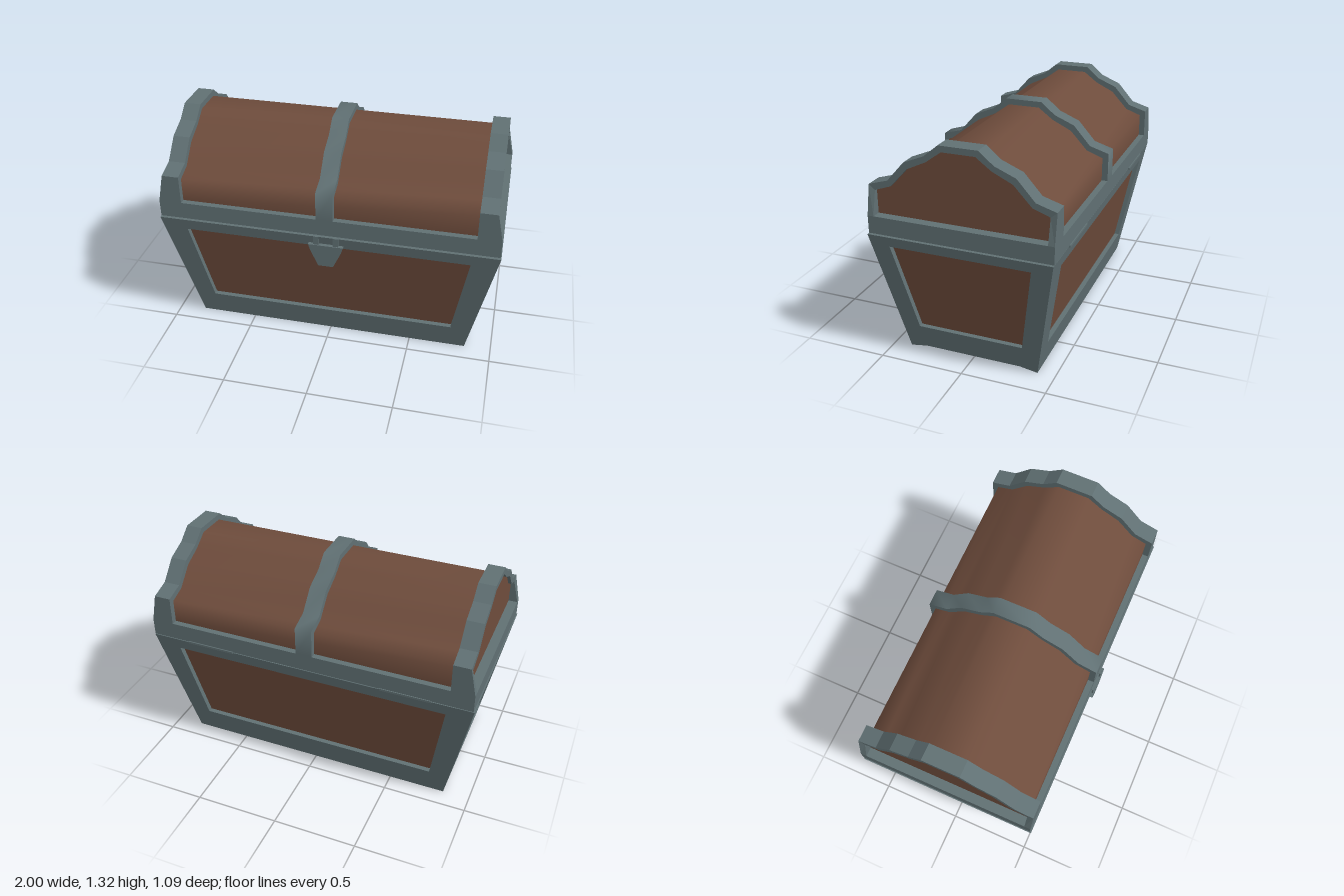
import * as THREE from 'three';
import { toCreasedNormals } from 'three/addons/utils/BufferGeometryUtils.js';

const wood = new THREE.MeshStandardMaterial({ color: 0x6e4c3c });
wood.name = 'brown wood';
const iron = new THREE.MeshStandardMaterial({ color: 0x607073 });
iron.name = 'grey iron';

function add(parent, name, geometry, material, x = 0, y = 0, z = 0) {
  const mesh = new THREE.Mesh(geometry, material);
  mesh.name = name;
  mesh.position.set(x, y, z);
  parent.add(mesh);
  return mesh;
}

function facets(points) {
  const g = new THREE.BufferGeometry().setFromPoints(points);
  g.computeVertexNormals();
  return g;
}

// Iron ring between two outlines, a reveal going inwards, and a wood panel at its foot
function framedPanel(name, outer, inner, inset) {
  const group = new THREE.Group();
  group.name = name;
  const deep = inner.map((p) => p.clone().add(inset));
  const ring = [], panel = [], n = outer.length;
  for (let i = 0; i < n; i++) {
    const j = (i + 1) % n;
    for (const [a, b] of [[outer, inner], [inner, deep]]) {
      ring.push(a[i], a[j], b[j], a[i], b[j], b[i]);
    }
    if (i > 0 && i < n - 1) panel.push(deep[0], deep[i], deep[i + 1]);
  }
  add(group, name + 'Frame', facets(ring), iron);
  add(group, name + 'Panel', facets(panel), wood);
  return group;
}

// Sloping wall: outlines in (across, up), leaning out from low to high
function wall(name, outer, inner, low, high, turn) {
  const lift = ([u, v]) => new THREE.Vector3(u, v, low + (high - low) * v / 0.77);
  const g = framedPanel(name, outer.map(lift), inner.map(lift), new THREE.Vector3(0, 0, -0.03));
  g.rotation.y = turn;
  return g;
}

// Half profiles of the lid in (depth, height), from the rim up
const outerArch = [[0.533, 0.88], [0.533, 1.05], [0.418, 1.085], [0.316, 1.2], [0.196, 1.25], [0.112, 1.32]];
const innerArch = [[0.497, 0.88], [0.497, 1.02], [0.4, 1.055], [0.298, 1.165], [0.183, 1.22], [0.095, 1.285]];
const fullArch = (half) => [...half, ...half.map(([z, y]) => [-z, y]).reverse()];

// Extrudes a profile along x, centred
function along(points, width) {
  const shape = new THREE.Shape(points.map(([z, y]) => new THREE.Vector2(z, y)));
  return new THREE.ExtrudeGeometry(shape, { depth: width, bevelEnabled: false })
    .translate(0, 0, -width / 2).rotateY(Math.PI / 2);
}

export function createModel() {
  const chest = new THREE.Group();
  chest.name = 'chest';

  // Lower box
  const base = new THREE.Group();
  base.name = 'base';
  chest.add(base);
  const longOuter = [[-0.84, 0], [0.84, 0], [1, 0.77], [-1, 0.77]];
  const longInner = [[-0.75, 0.155], [0.75, 0.155], [0.84, 0.7], [-0.84, 0.7]];
  const endOuter = [[-0.395, 0], [-0.29, 0.02], [0.29, 0.02], [0.395, 0], [0.535, 0.77], [-0.535, 0.77]];
  const endInner = [[-0.315, 0.165], [-0.2, 0.165], [0.2, 0.165], [0.315, 0.165], [0.41, 0.71], [-0.41, 0.71]];
  base.add(wall('frontWall', longOuter, longInner, 0.395, 0.535, 0));
  base.add(wall('backWall', longOuter, longInner, 0.395, 0.535, Math.PI));
  base.add(wall('leftWall', endOuter, endInner, 0.84, 1, Math.PI / 2));
  base.add(wall('rightWall', endOuter, endInner, 0.84, 1, -Math.PI / 2));

  // Underside, raised between the front and back runners
  const under = [[-0.84, 0, -0.395], [0.84, 0, -0.395], [0.844, 0.02, -0.29], [0.844, 0.02, 0.29],
    [0.84, 0, 0.395], [-0.84, 0, 0.395], [-0.844, 0.02, 0.29], [-0.844, 0.02, -0.29]];
  const underInner = [[-0.71, -0.27], [0.71, -0.27], [0.71, -0.2], [0.71, 0.2],
    [0.71, 0.27], [-0.71, 0.27], [-0.71, 0.2], [-0.71, -0.2]];
  base.add(framedPanel('underside', under.map((p) => new THREE.Vector3(...p)),
    underInner.map(([x, z]) => new THREE.Vector3(x, 0.02, z)), new THREE.Vector3(0, 0.02, 0)));
  add(base, 'baseTop', new THREE.PlaneGeometry(2, 1.07).rotateX(-Math.PI / 2), iron, 0, 0.77, 0);

  // Lid
  const lid = new THREE.Group();
  lid.name = 'lid';
  lid.position.z = -0.006;
  chest.add(lid);
  add(lid, 'lidRim', new THREE.BoxGeometry(1.99, 0.102, 1.066), iron, 0, 0.829, 0);
  add(lid, 'lidBarrel', toCreasedNormals(along(fullArch(innerArch), 1.88), 1.3), wood);
  add(lid, 'middleStrap', toCreasedNormals(along(fullArch(outerArch), 0.1), 1.3), iron);

  // End arches, flaring out towards the rim
  const band = [...fullArch(outerArch), ...fullArch(innerArch).reverse()];
  for (const side of [1, -1]) {
    const g = along(band, 0.1);
    const p = g.attributes.position;
    for (let i = 0; i < p.count; i++) {
      if (p.getY(i) < 0.9 && p.getX(i) * side > 0) p.setX(i, 0.085 * side);
    }
    g.computeVertexNormals();
    add(lid, side > 0 ? 'leftArch' : 'rightArch', g, iron, 0.91 * side, 0, 0);
  }

  // Hinges
  for (const side of [1, -1]) {
    add(chest, 'hinge', new THREE.BoxGeometry(0.3, 0.012, 0.085), iron, 0.61 * side, 0.776, -0.503);
  }

  // Latch plate with two prongs
  const latch = new THREE.Group();
  latch.name = 'latch';
  latch.position.x = 0.01;
  chest.add(latch);
  const plate = new THREE.Shape([[-0.103, 0.72], [-0.09, 0.68], [-0.044, 0.58], [0.044, 0.58],
    [0.09, 0.68], [0.103, 0.72]].map(([x, y]) => new THREE.Vector2(x, y)));
  add(latch, 'latchPlate', new THREE.ExtrudeGeometry(plate, { depth: 0.033, bevelEnabled: false }), iron, 0, 0, 0.515);
  for (const side of [1, -1]) {
    add(latch, 'latchProng', new THREE.BoxGeometry(0.032, 0.06, 0.03), iron, 0.058 * side, 0.743, 0.527);
  }
  return chest;
}
